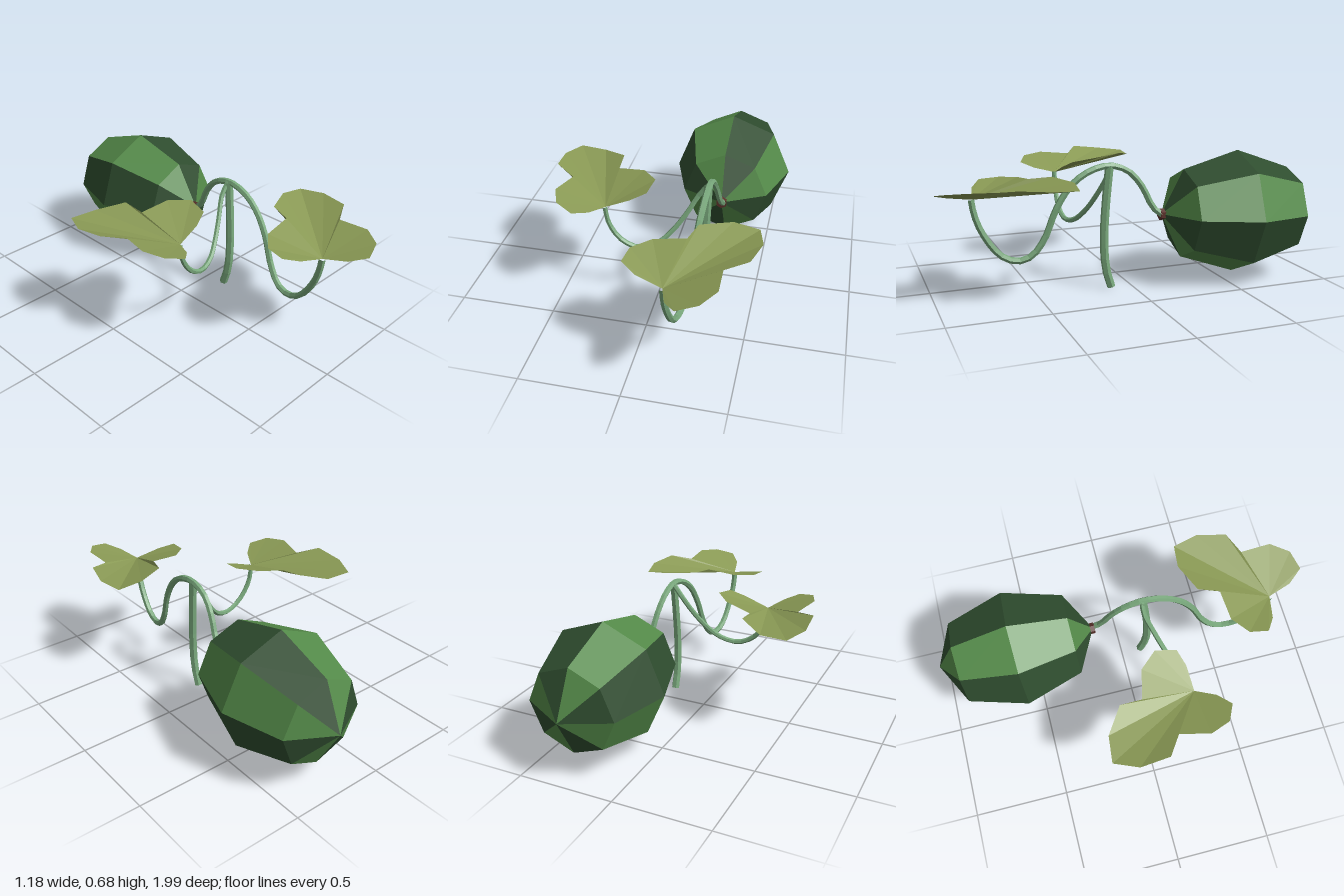
import * as THREE from 'three';
import { mergeGeometries } from 'three/addons/utils/BufferGeometryUtils.js';

const paint = (color, side = THREE.FrontSide) =>
  new THREE.MeshStandardMaterial({ color, side, flatShading: true });

const vineGreen = paint(0x79a87c);
const leafGreen = paint(0x8a9a55, THREE.DoubleSide);

function part(name, geometry, material) {
  const mesh = new THREE.Mesh(geometry, material);
  mesh.name = name;
  return mesh;
}

// Six-sided vine following a smooth path, closed at its start
function vine(name, points, radius, segments) {
  const curve = new THREE.CatmullRomCurve3(points.map(p => new THREE.Vector3(...p)));
  const tube = new THREE.TubeGeometry(curve, segments, radius, 6);
  const cap = new THREE.CircleGeometry(radius, 6);
  const out = curve.getTangentAt(0).negate();
  cap.applyQuaternion(new THREE.Quaternion().setFromUnitVectors(new THREE.Vector3(0, 0, 1), out));
  cap.translate(...points[0]);
  return part(name, mergeGeometries([tube, cap]), vineGreen);
}

// Folded three-lobed leaf: a fan from the stalk joint around the outline
function leaf(name, base, outline) {
  const positions = [];
  for (let i = 0; i < outline.length - 1; i++) {
    positions.push(...base, ...outline[i + 1], ...outline[i]);
  }
  const geometry = new THREE.BufferGeometry();
  geometry.setAttribute('position', new THREE.Float32BufferAttribute(positions, 3));
  geometry.computeVertexNormals();
  return part(name, geometry, leafGreen);
}

// Eight-sided melon lying along z, made of alternating striped wedges
function melon() {
  const group = new THREE.Group();
  group.name = 'melon';
  const profile = [[0, -0.425], [0.23, -0.307], [0.325, 0], [0.23, 0.307], [0, 0.425]]
    .map(p => new THREE.Vector2(...p));
  const stripes = [[], []];
  for (let k = 0; k < 8; k++) {
    const start = k * Math.PI / 4 + 0.035;
    stripes[k % 2].push(new THREE.LatheGeometry(profile, 1, start, Math.PI / 4));
  }
  group.add(
    part('lightStripes', mergeGeometries(stripes[0]), paint(0x548a49)),
    part('darkStripes', mergeGeometries(stripes[1]), paint(0x2f4d2f)));

  // Woody ring where the vine joins the melon
  const ring = part('stalkRing', new THREE.CylinderGeometry(0.03, 0.03, 0.035, 6), paint(0x5a302a));
  ring.position.y = 0.417;
  group.add(ring);

  group.rotation.x = Math.PI / 2 - 0.041;
  group.position.set(0.265, 0.363, -0.575);
  return group;
}

export function createModel() {
  const model = new THREE.Group();
  model.name = 'melonPlant';
  model.add(melon());

  // Vines
  model.add(
    vine('rootStem', [
      [0.23, 0.012, 0.11], [0.23, 0.12, 0.14], [0.23, 0.28, 0.148],
      [0.232, 0.46, 0.138], [0.235, 0.645, 0.12]], 0.022, 8),
    vine('mainVine', [
      [0.275, 0.38, -0.15], [0.265, 0.42, -0.105], [0.25, 0.53, -0.05], [0.24, 0.61, 0.02],
      [0.238, 0.645, 0.12], [0.235, 0.62, 0.23], [0.228, 0.555, 0.32], [0.22, 0.44, 0.395],
      [0.208, 0.29, 0.455], [0.195, 0.205, 0.52], [0.185, 0.185, 0.59], [0.175, 0.22, 0.67],
      [0.165, 0.33, 0.75], [0.157, 0.43, 0.788], [0.155, 0.508, 0.8]], 0.017, 32),
    vine('sideVine', [
      [0.235, 0.645, 0.115], [0.19, 0.585, 0.115], [0.13, 0.48, 0.15], [0.06, 0.385, 0.19],
      [-0.01, 0.325, 0.225], [-0.1, 0.305, 0.25], [-0.19, 0.35, 0.26],
      [-0.25, 0.44, 0.26], [-0.268, 0.537, 0.26]], 0.0135, 20));

  // Leaves, outlined from one side of the stalk joint round to the other
  model.add(
    leaf('frontLeaf', [0.155, 0.507, 0.8], [
      [0.155, 0.507, 0.8], [0.02, 0.54, 0.77], [-0.055, 0.565, 0.72], [-0.04, 0.573, 0.62],
      [0.05, 0.583, 0.545], [0.21, 0.6, 0.53], [0.245, 0.61, 0.42], [0.4, 0.605, 0.355],
      [0.53, 0.59, 0.37], [0.56, 0.6, 0.5], [0.52, 0.608, 0.655], [0.41, 0.585, 0.71],
      [0.415, 0.592, 0.87], [0.35, 0.58, 0.965], [0.25, 0.557, 0.995], [0.19, 0.53, 0.92],
      [0.155, 0.507, 0.8]]),
    leaf('sideLeaf', [-0.265, 0.535, 0.26], [
      [-0.265, 0.535, 0.26], [-0.32, 0.557, 0.36], [-0.39, 0.58, 0.42], [-0.48, 0.603, 0.375],
      [-0.52, 0.612, 0.27], [-0.48, 0.6, 0.115], [-0.585, 0.625, 0.045], [-0.595, 0.605, -0.11],
      [-0.54, 0.593, -0.235], [-0.4, 0.59, -0.22], [-0.27, 0.62, -0.13], [-0.265, 0.605, -0.015],
      [-0.12, 0.632, 0.02], [-0.04, 0.638, 0.11], [-0.06, 0.62, 0.22], [-0.14, 0.585, 0.25],
      [-0.265, 0.535, 0.26]].reverse()));

  return model;
}
